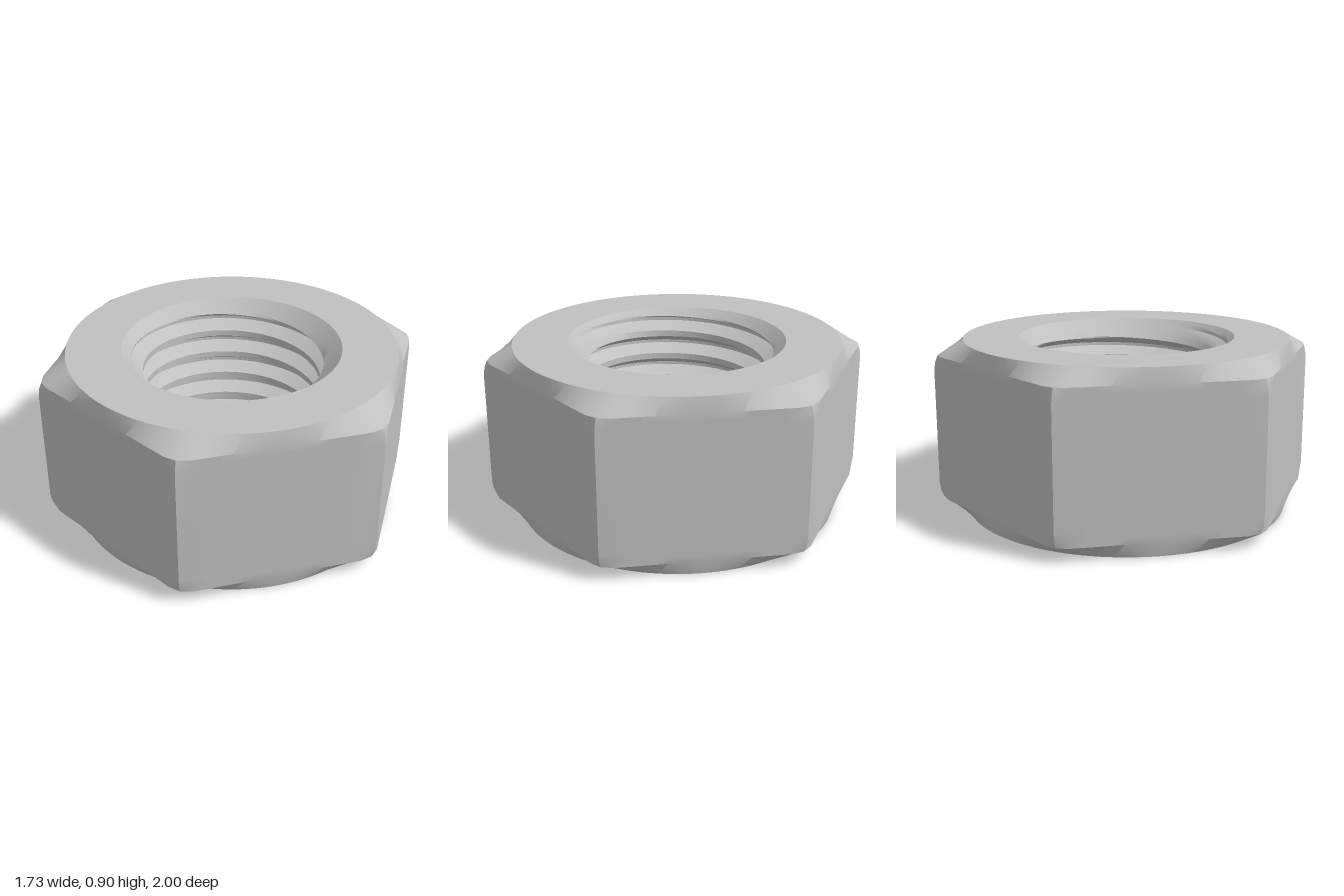
import * as THREE from 'three';
import { toCreasedNormals } from 'three/addons/utils/BufferGeometryUtils.js';

const H = 0.905, SEG = 96, TAU = Math.PI * 2;
const FLAT = Math.sqrt(3) / 2, RIM = 0.85, MOUTH = 0.565;
const MINOR = 0.461, MAJOR = 0.533, PITCH = 0.133, START = 0.662;

// Wrapped surface: point(angle, row) returns [radius, y]
function wrap(rows, point, inward, crease) {
  const pos = [];
  const at = (i, j) => {
    const a = (i / SEG) * TAU;
    const [r, y] = point(a, j);
    return new THREE.Vector3(r * Math.sin(a), y, r * Math.cos(a));
  };
  const tri = (a, b, c) => {
    const area = b.clone().sub(a).cross(c.clone().sub(a)).length();
    if (area < 1e-8) return;
    for (const p of inward ? [a, c, b] : [a, b, c]) pos.push(p.x, p.y, p.z);
  };
  for (let i = 0; i < SEG; i++) {
    for (let j = 0; j < rows - 1; j++) {
      const a = at(i, j), b = at(i + 1, j), c = at(i + 1, j + 1), d = at(i, j + 1);
      tri(a, b, c);
      tri(a, c, d);
    }
  }
  const g = new THREE.BufferGeometry();
  g.setAttribute('position', new THREE.Float32BufferAttribute(pos, 3));
  return toCreasedNormals(g, crease);
}

// Hexagon radius with corners on the z axis
function hexRadius(a) {
  const sector = Math.PI / 3;
  const local = a - Math.floor(a / sector + 1e-9) * sector;
  return FLAT / Math.cos(local - sector / 2);
}

// Thread profile over one pitch, measured from the crest centre: [offset, radius]
const thread = [[-0.125, MINOR], [0.125, MINOR]];
for (let i = 1; i <= 5; i++) thread.push([0.125 + 0.0625 * i, MINOR + (MAJOR - MINOR) * i / 5]);
for (let i = 0; i < 5; i++) thread.push([0.5625 + 0.0625 * i, MAJOR - (MAJOR - MINOR) * i / 5]);

export function createModel() {
  const nut = new THREE.Group();
  nut.name = 'hexNut';
  const steel = new THREE.MeshStandardMaterial({ color: 0xc0c0c0 });
  steel.name = 'steel grey';
  const add = (name, geometry) => {
    const mesh = new THREE.Mesh(geometry, steel);
    mesh.name = name;
    nut.add(mesh);
    return mesh;
  };

  // Hexagonal sides, blending into round rims with clipped corners
  const half = [[0, RIM], [0.075, 0.98], [0.11, 0.994], [0.15, 1.01]];
  const rings = [...half, ...half.map(([y, r]) => [H - y, r]).reverse()];
  add('hexBody', wrap(rings.length, (a, j) => [Math.min(hexRadius(a), rings[j][1]), rings[j][0]], false, 0.5));

  // Right-handed internal thread, cut by a conical mouth at each end
  const first = -7, turns = 11;
  const bore = (a, j) => {
    const [s, r] = thread[j % thread.length];
    const turn = first + Math.floor(j / thread.length) + s + a / TAU;
    const y = THREE.MathUtils.clamp(START + PITCH * turn, 0, H);
    return [Math.max(y === 0 || y === H ? MOUTH : r, MOUTH - Math.min(y, H - y)), y];
  };
  add('threadedBore', wrap(turns * thread.length, bore, true, 0.5));

  // Flat bearing faces
  const face = new THREE.RingGeometry(MOUTH, RIM, SEG, 1);
  const top = add('topFace', face);
  top.rotation.x = -Math.PI / 2;
  top.position.y = H;
  add('bottomFace', face).rotation.x = Math.PI / 2;

  return nut;
}
